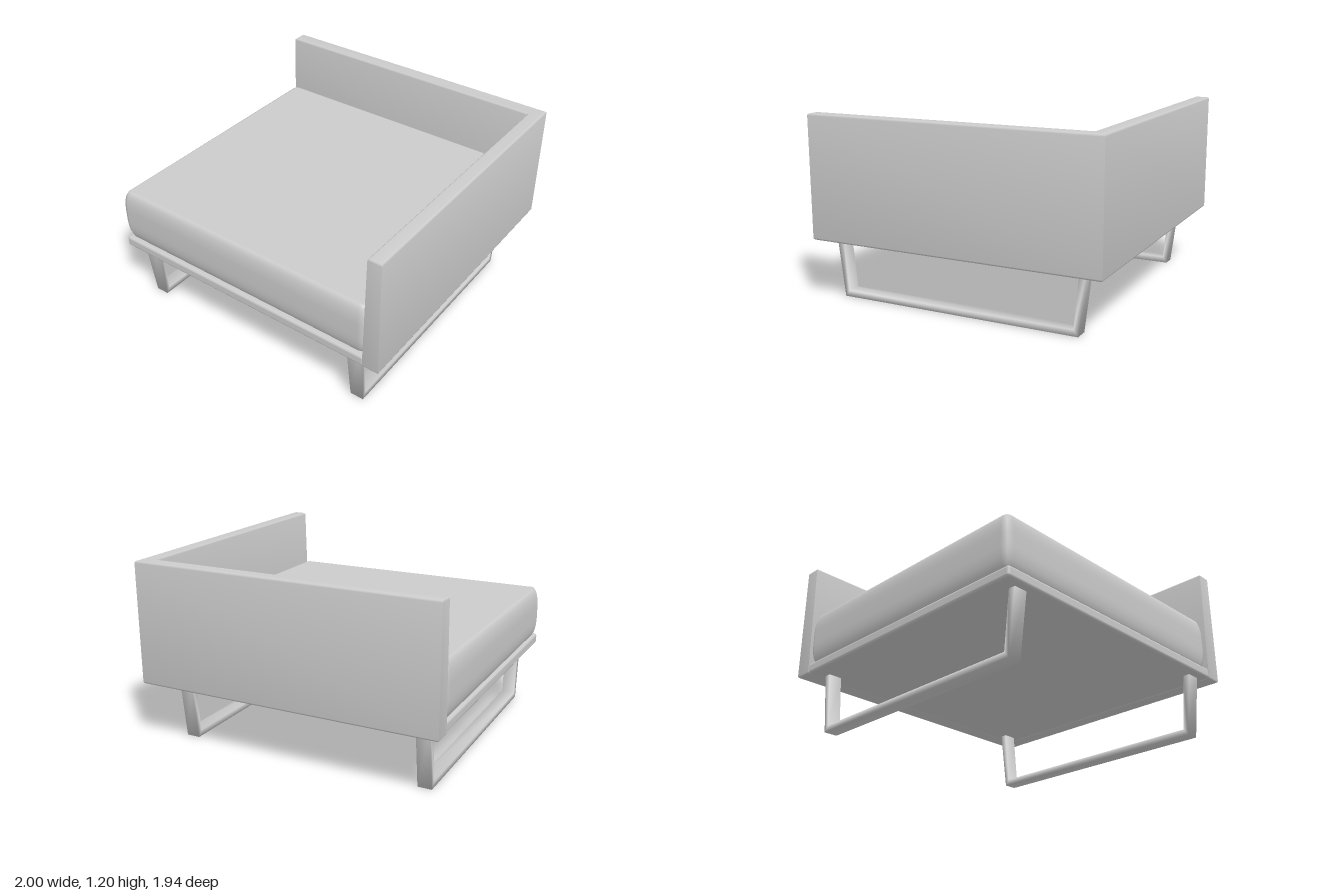
import * as THREE from 'three';
import { mergeVertices, toCreasedNormals } from 'three/addons/utils/BufferGeometryUtils.js';
import { RoundedBoxGeometry } from 'three/addons/geometries/RoundedBoxGeometry.js';

const material = new THREE.MeshStandardMaterial({ color: 0xcccccc });

function addPart(group, name, geometry) {
  const mesh = new THREE.Mesh(geometry, material);
  mesh.name = name;
  group.add(mesh);
  return mesh;
}

// Weld all corners so the shading flows round the edges
function smooth(geometry) {
  geometry.deleteAttribute('uv');
  geometry.deleteAttribute('normal');
  const welded = mergeVertices(geometry, 1e-4);
  welded.computeVertexNormals();
  return welded;
}

// Extrude a floor plan given as [x, z] points upwards from y0 to y1 with rounded rims
function extrudePlan(points, y0, y1, bevelSize, bevelThickness, bevelSegments) {
  const shape = new THREE.Shape(points.map(([x, z]) => new THREE.Vector2(x, -z)));
  const geometry = new THREE.ExtrudeGeometry(shape, {
    depth: y1 - y0 - 2 * bevelThickness,
    bevelSize, bevelOffset: -bevelSize, bevelThickness, bevelSegments,
  });
  geometry.rotateX(-Math.PI / 2);
  geometry.translate(0, y0 + bevelThickness, 0);
  return geometry;
}

// L-shaped back and arm, with inner faces leaning outwards
function backAndArm() {
  const plan = [[-1, -0.97], [1, -0.97], [1, 0.965], [0.9, 0.965], [0.9, -0.863], [-1, -0.863]];
  const geometry = extrudePlan(plan, 0.4, 1.195, 0.014, 0.014, 3);
  const p = geometry.attributes.position;
  for (let i = 0; i < p.count; i++) {
    const lean = (p.getY(i) - 0.8) * 0.024;
    if (Math.abs(p.getX(i) - 0.9) < 0.03) p.setX(i, p.getX(i) + lean);
    if (Math.abs(p.getZ(i) + 0.863) < 0.03) p.setZ(i, p.getZ(i) - lean);
  }
  return toCreasedNormals(geometry, 0.7);
}

// Seat cushion: plan with clipped corners and bulging sides
function cushion() {
  const [x0, x1, z0, z1, c] = [-1, 0.9, -0.863, 0.96, 0.05];
  const d = c * 0.3;
  const plan = [
    [x0 + c, z0], [x1 - c, z0], [x1 - d, z0 + d], [x1, z0 + c],
    [x1, z1 - c], [x1 - d, z1 - d], [x1 - c, z1],
    [x0 + c, z1], [x0 + d, z1 - d], [x0, z1 - c],
    [x0, z0 + c], [x0 + d, z0 + d],
  ];
  return smooth(extrudePlan(plan, 0.468, 0.82, 0.04, 0.13, 5));
}

// Sled leg: a flat U in the z-y plane with splayed uprights
function sledLeg() {
  const outline = [
    [0.91, 0.41], [0.86, 0], [-0.765, 0], [-0.815, 0.41],
    [-0.77, 0.41], [-0.735, 0.04], [0.83, 0.04], [0.865, 0.41],
  ];
  const shape = new THREE.Shape(outline.map(([z, y]) => new THREE.Vector2(z, y)));
  const geometry = new THREE.ExtrudeGeometry(shape, { depth: 0.09, bevelEnabled: false });
  geometry.translate(0, 0, -0.045);
  geometry.rotateY(-Math.PI / 2);
  return smooth(geometry);
}

export function createModel() {
  const group = new THREE.Group();
  group.name = 'cornerSofaSeat';

  addPart(group, 'backAndArm', backAndArm());
  addPart(group, 'seatCushion', cushion());

  // Thin platform under the cushion
  const base = addPart(group, 'seatBase', new RoundedBoxGeometry(1.895, 0.07, 1.835, 3, 0.018));
  base.position.set(-0.0475, 0.437, 0.0475);

  // Two sled legs
  const leg = sledLeg();
  for (const [name, x] of [['rightLeg', -0.845], ['leftLeg', 0.79]]) {
    addPart(group, name, leg).position.x = x;
  }
  return group;
}
